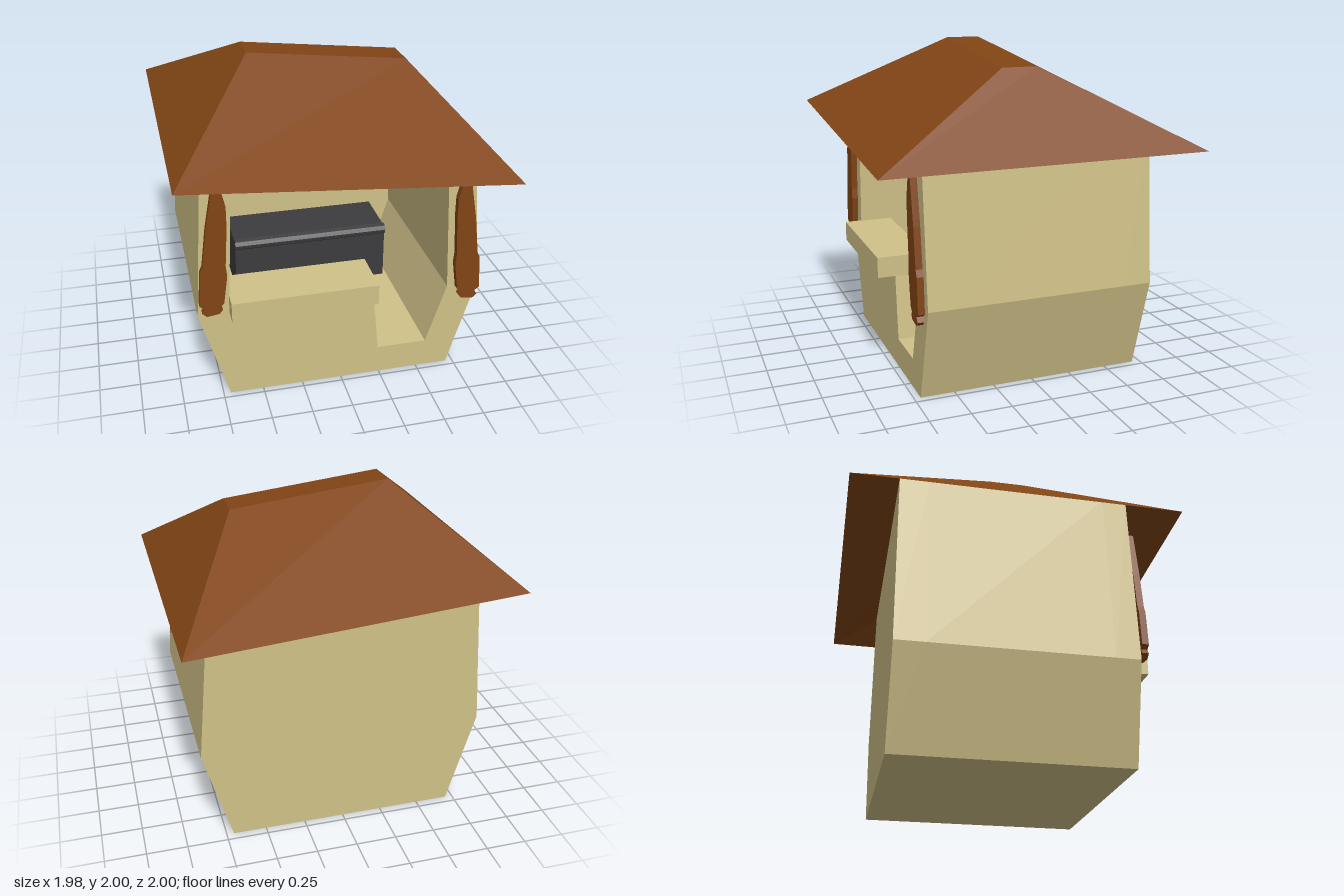
import * as THREE from 'three';

const tan = new THREE.MeshStandardMaterial({ color: 0xd0c188 });
const wood = new THREE.MeshStandardMaterial({ color: 0x804414 });
const roofWood = new THREE.MeshStandardMaterial({ color: 0x804414, side: THREE.DoubleSide });
const iron = new THREE.MeshStandardMaterial({ color: 0x3c3c3e });

// Extrude an outline from z0 to z1
function slab(name, points, z0, z1, material) {
  const shape = new THREE.Shape(points.map(([x, y]) => new THREE.Vector2(x, y)));
  const geometry = new THREE.ExtrudeGeometry(shape, { depth: z1 - z0, bevelEnabled: false });
  geometry.translate(0, 0, z0);
  const mesh = new THREE.Mesh(geometry, material);
  mesh.name = name;
  return mesh;
}

// Hipped, tilted roof shell, open underneath
function makeRoof() {
  const eaves = [[-0.99, 1.55, 1], [0.99, 1.39, 1], [0.985, 1.4, -1], [-0.99, 1.56, -1]];
  const crown = [[-0.45, 2, 0.135], [0.54, 1.89, 0.135], [0.54, 1.89, -0.085], [-0.45, 2, -0.085]];
  const corners = [];
  const quad = (a, b, c, d) => corners.push(...a, ...b, ...c, ...a, ...c, ...d);
  for (let i = 0; i < 4; i++) {
    const j = (i + 1) % 4;
    quad(eaves[i], eaves[j], crown[j], crown[i]);
  }
  quad(...crown);
  const geometry = new THREE.BufferGeometry();
  geometry.setAttribute('position', new THREE.Float32BufferAttribute(corners, 3));
  geometry.computeVertexNormals();
  const mesh = new THREE.Mesh(geometry, roofWood);
  mesh.name = 'roof';
  return mesh;
}

export function createModel() {
  const model = new THREE.Group();
  model.name = 'marketHut';

  // Walls: solid back, open channel in the middle, notched front with a doorway
  const outerLeft = [[-0.81, 1.69], [-0.88, 0.59], [-0.705, 0]];
  const outerRight = [[0.705, 0], [0.88, 0.59], [0.797, 1.55]];
  const innerRight = [[0.632, 1.565], [0.68, 0.58], [0.555, 0.185]];
  const outer = [...outerLeft, ...outerRight];
  const innerTop = [-0.643, 1.675];
  model.add(
    slab('backWall', outer, -0.7, -0.52, tan),
    slab('floorAndSideWalls',
      [...outer, ...innerRight, [-0.555, 0.185], [-0.69, 0.59], innerTop], -0.52, 0.56, tan),
    slab('frontWall',
      [...outer, ...innerRight, [0.24, 0.185], [0.2, 0.59], [-0.69, 0.59], innerTop], 0.56, 0.71, tan),
  );

  // Serving counter
  const counter = new THREE.Mesh(new THREE.BoxGeometry(0.89, 0.13, 0.32), tan);
  counter.name = 'counter';
  counter.position.set(-0.245, 0.655, 0.66);
  model.add(counter);

  // Dark chest against the back wall, profile in (depth, height) with a rounded rim
  const chest = slab('chest', [
    [0, 0.185], [0.39, 0.185], [0.39, 0.52], [0.41, 0.535], [0.415, 0.56],
    [0.4, 0.585], [0.37, 0.595], [0.35, 0.575], [0, 0.575],
  ], -0.53, 0.53, iron);
  chest.rotation.y = -Math.PI / 2;
  chest.position.z = -0.52;
  model.add(chest);

  // Rough planks hanging beside the opening; the left one is mirrored and lower
  const plank = [
    [-0.755, 1.495], [-0.81, 1.19], [-0.84, 0.95], [-0.857, 0.91], [-0.87, 0.695],
    [-0.84, 0.675], [-0.857, 0.645], [-0.83, 0.62], [-0.755, 0.63], [-0.735, 0.655],
    [-0.75, 0.675], [-0.725, 0.7], [-0.7, 0.88], [-0.706, 0.95], [-0.69, 1.2],
    [-0.69, 1.33], [-0.73, 1.495],
  ];
  model.add(
    slab('rightPlank', plank, 0.725, 0.765, wood),
    slab('leftPlank', plank.map(([x, y]) => [-x, y - 0.115]), 0.725, 0.765, wood),
  );

  model.add(makeRoof());
  return model;
}
